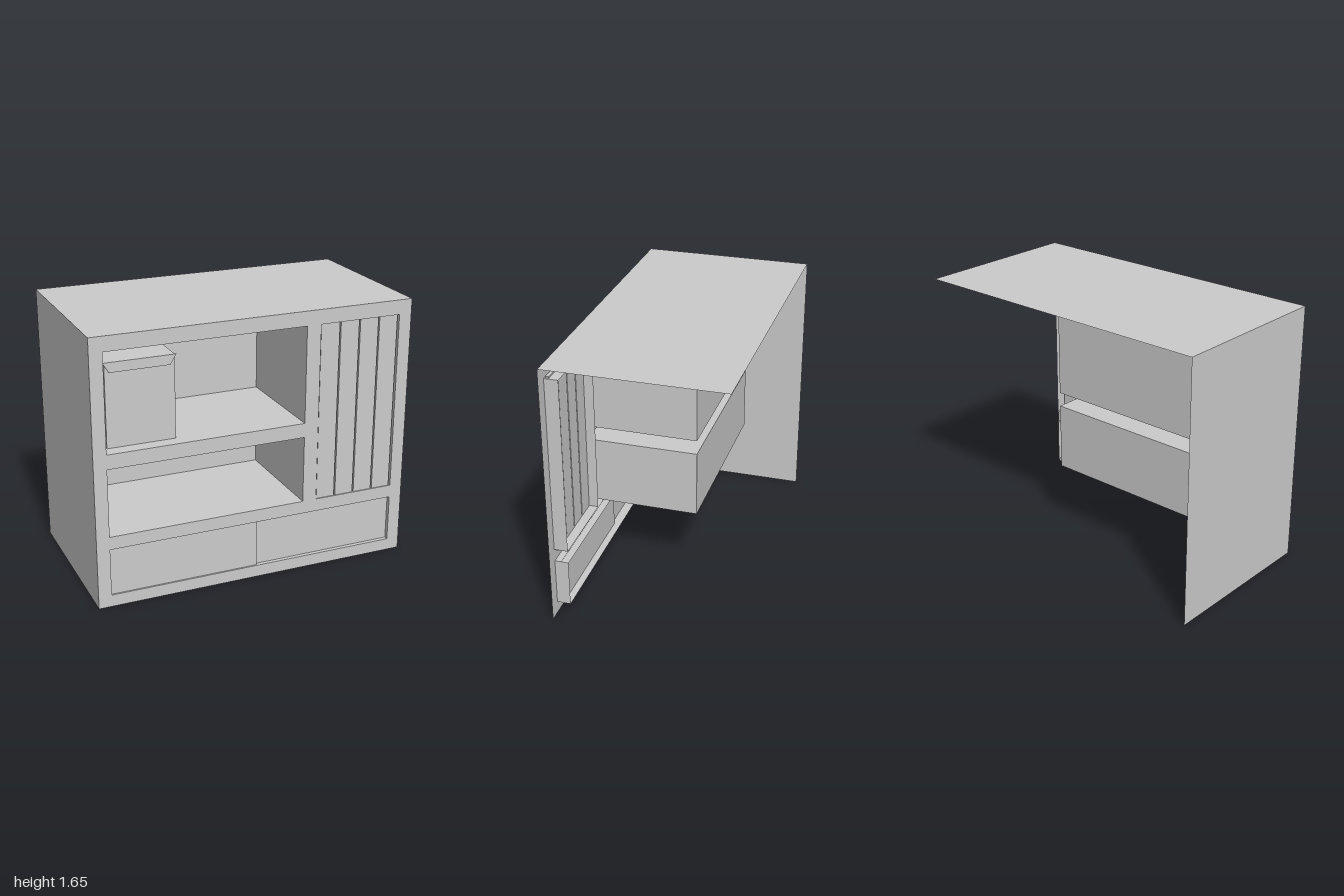
import * as THREE from 'three';

const grey = new THREE.MeshStandardMaterial({ color: 0xcccccc, side: THREE.DoubleSide, flatShading: true });
const FRONT = 0.535, BACK = -0.535, HEIGHT = 1.65;

function add(parent, name, geometry, x = 0, y = 0, z = 0) {
  const mesh = new THREE.Mesh(geometry, grey);
  mesh.name = name;
  mesh.position.set(x, y, z);
  parent.add(mesh);
  return mesh;
}

// Box given by its limits on each axis
function block(parent, name, [x0, x1], [y0, y1], [z0, z1]) {
  return add(parent, name, new THREE.BoxGeometry(x1 - x0, y1 - y0, z1 - z0),
    (x0 + x1) / 2, (y0 + y1) / 2, (z0 + z1) / 2);
}

// Thin sheet walls running back from an opening, with an optional back sheet
function recess(parent, name, { x: [x0, x1], y: [y0, y1] }, zBack, closed) {
  const group = new THREE.Group();
  group.name = name;
  parent.add(group);
  const w = x1 - x0, h = y1 - y0, d = FRONT - zBack;
  const cx = (x0 + x1) / 2, cy = (y0 + y1) / 2, cz = (FRONT + zBack) / 2;
  for (const [part, x, turn] of [['rightWall', x0, 1], ['leftWall', x1, -1]])
    add(group, part, new THREE.PlaneGeometry(d, h), x, cy, cz).rotation.y = turn * Math.PI / 2;
  for (const [part, y, turn] of [['floor', y0, -1], ['ceiling', y1, 1]])
    add(group, part, new THREE.PlaneGeometry(w, d), cx, y, cz).rotation.x = turn * Math.PI / 2;
  if (closed) add(group, 'backWall', new THREE.PlaneGeometry(w, h), cx, cy, zBack);
}

export function createModel() {
  const model = new THREE.Group();
  model.name = 'wallCabinet';

  const openings = {
    upperNiche: { x: [-0.92, 0.31], y: [0.96, 1.56], back: -0.16, closed: true },
    lowerNiche: { x: [-0.92, 0.31], y: [0.45, 0.87], back: -0.16, closed: true },
    slatFrame: { x: [0.4, 0.92], y: [0.45, 1.56], back: 0.45, closed: false },
    slidingDoorFrame: { x: [-0.92, 0.92], y: [0.075, 0.37], back: 0.45, closed: false },
  };

  // Front sheet with rectangular openings
  const face = new THREE.Shape([[-1, 0], [1, 0], [1, HEIGHT], [-1, HEIGHT]].map(p => new THREE.Vector2(...p)));
  for (const { x, y } of Object.values(openings)) {
    face.holes.push(new THREE.Path([[x[0], y[0]], [x[0], y[1]], [x[1], y[1]], [x[1], y[0]]]
      .map(p => new THREE.Vector2(...p))));
  }
  add(model, 'frontPanel', new THREE.ShapeGeometry(face), 0, 0, FRONT);

  // Top and single side sheet; the other sides are open
  add(model, 'topPanel', new THREE.PlaneGeometry(2, FRONT - BACK), 0, HEIGHT, 0).rotation.x = -Math.PI / 2;
  add(model, 'sidePanel', new THREE.PlaneGeometry(FRONT - BACK, HEIGHT), -1, HEIGHT / 2, 0).rotation.y = -Math.PI / 2;

  for (const [name, o] of Object.entries(openings)) recess(model, name, o, o.back, o.closed);

  // Four upright slats, let into the frame above and below
  for (let i = 0; i < 4; i++) {
    const x = 0.405 + i * 0.1285;
    block(model, 'slat', [x, x + 0.12], [0.44, 1.57], [0.508, 0.528]);
  }

  // Two sliding doors, one behind the other
  block(model, 'frontSlidingDoor', [-0.92, 0.01], [0.073, 0.372], [0.51, 0.525]);
  block(model, 'rearSlidingDoor', [0, 0.92], [0.073, 0.372], [0.494, 0.509]);

  // Storage bin in the upper niche with a tapered front flap
  const bin = new THREE.Group();
  bin.name = 'bin';
  model.add(bin);
  block(bin, 'binBody', [-0.89, -0.475], [0.94, 1.468], [0.18, 0.45]);
  const flap = new THREE.Shape([[-0.865, 1.41], [-0.505, 1.41], [-0.468, 1.47], [-0.9, 1.47]]
    .map(p => new THREE.Vector2(...p)));
  add(bin, 'binFlap', new THREE.ExtrudeGeometry(flap, { depth: 0.01, bevelEnabled: false }), 0, 0, 0.448);

  return model;
}
